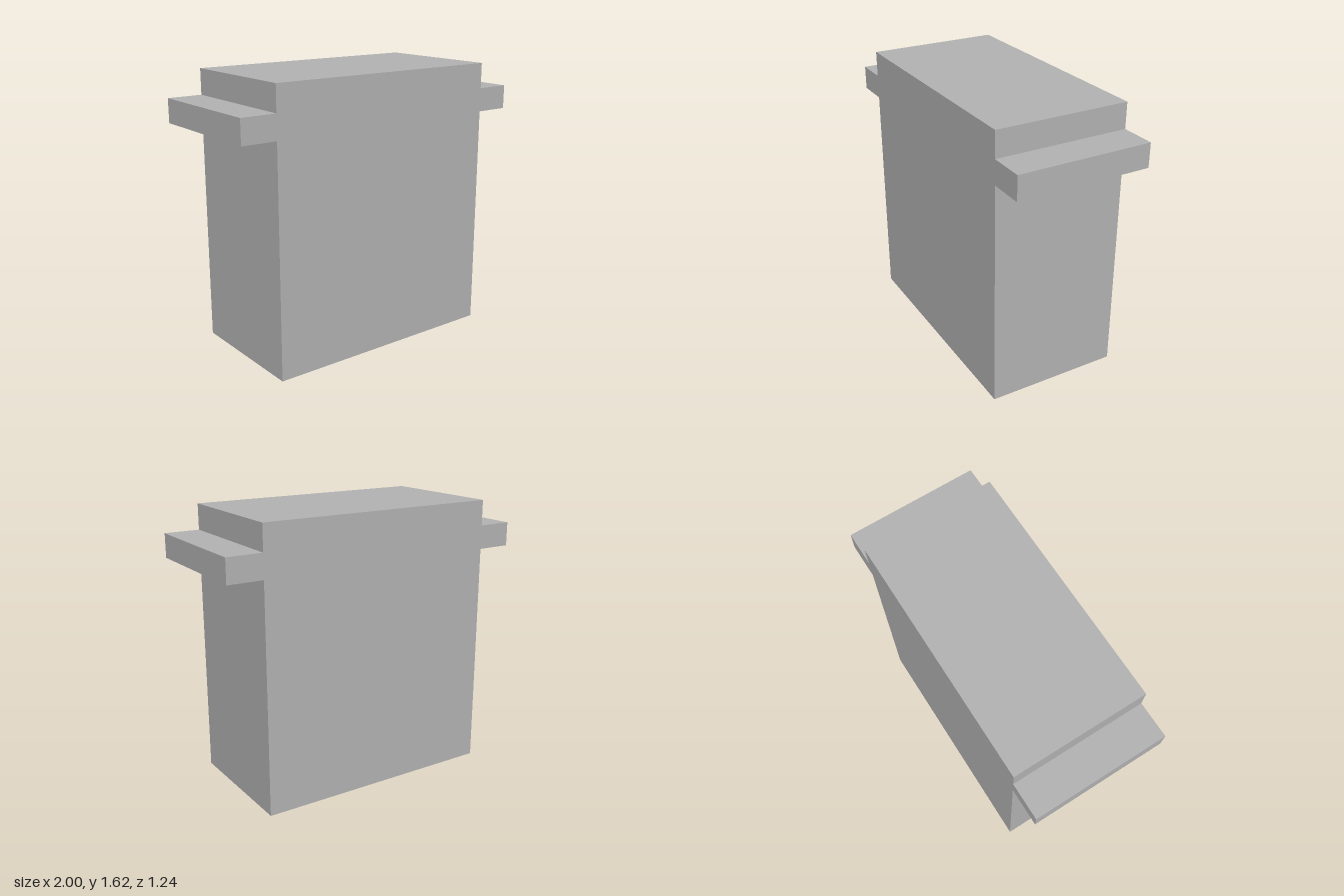
import * as THREE from 'three';

export function createModel() {
  const group = new THREE.Group();
  const grey = new THREE.MeshStandardMaterial({ color: 0xb3b3b3 });
  grey.name = 'plain grey';

  const bodyHalf = 0.725, wingHalf = 0.932, depth = 0.781;
  const height = 1.62, wingBottom = 1.33, wingTop = 1.47;

  // Right half of the cross-shaped outline, mirrored for the left half
  const half = [
    [bodyHalf, 0], [bodyHalf, wingBottom], [wingHalf, wingBottom],
    [wingHalf, wingTop], [bodyHalf, wingTop], [bodyHalf, height],
  ];
  const mirrored = half.map(([x, y]) => [-x, y]).reverse();
  const outline = new THREE.Shape([...half, ...mirrored].map(([x, y]) => new THREE.Vector2(x, y)));

  // Slab body with two side ledges, all flush front and back
  const geometry = new THREE.ExtrudeGeometry(outline, { depth, bevelEnabled: false });
  geometry.translate(0, 0, -depth / 2);
  const body = new THREE.Mesh(geometry, grey);
  body.name = 'bodyWithSideLedges';
  body.rotation.y = THREE.MathUtils.degToRad(15);
  group.add(body);
  return group;
}
